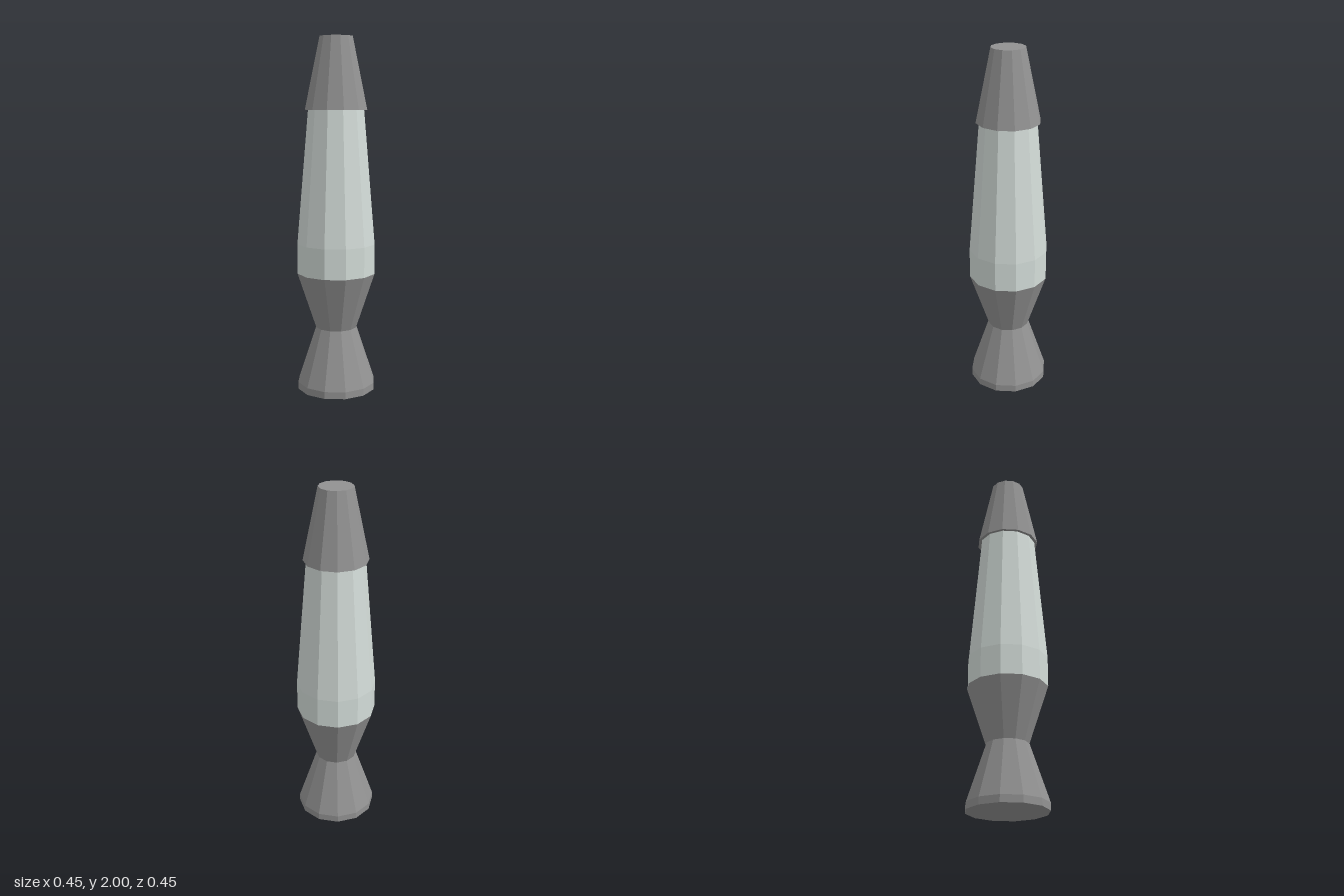
import * as THREE from 'three';

const SIDES = 12;

// Faceted turned part from [radius, y] points, listed bottom to top
function turned(name, points, color) {
  const profile = points.map(([r, y]) => new THREE.Vector2(r, y));
  const material = new THREE.MeshStandardMaterial({ color, flatShading: true });
  const mesh = new THREE.Mesh(new THREE.LatheGeometry(profile, SIDES), material);
  mesh.name = name;
  return mesh;
}

export function createModel() {
  const lamp = new THREE.Group();
  lamp.name = 'lavaLamp';
  const metal = 0x929292;
  const glass = 0xd3dcd8;

  lamp.add(
    // Flared foot with a short upright rim
    turned('foot', [[0, 0], [0.225, 0], [0.225, 0.04], [0.118, 0.36], [0, 0.36]], metal),
    // Cup that holds the bottle
    turned('cup', [[0, 0.36], [0.118, 0.36], [0.225, 0.68], [0, 0.68]], metal),
    // Tapered glass bottle
    turned('bottle', [[0.225, 0.68], [0.225, 0.85], [0.16, 1.605]], glass),
    // Overhanging cap
    turned('cap', [[0, 1.6], [0.178, 1.6], [0.094, 2], [0, 2]], metal)
  );
  return lamp;
}
